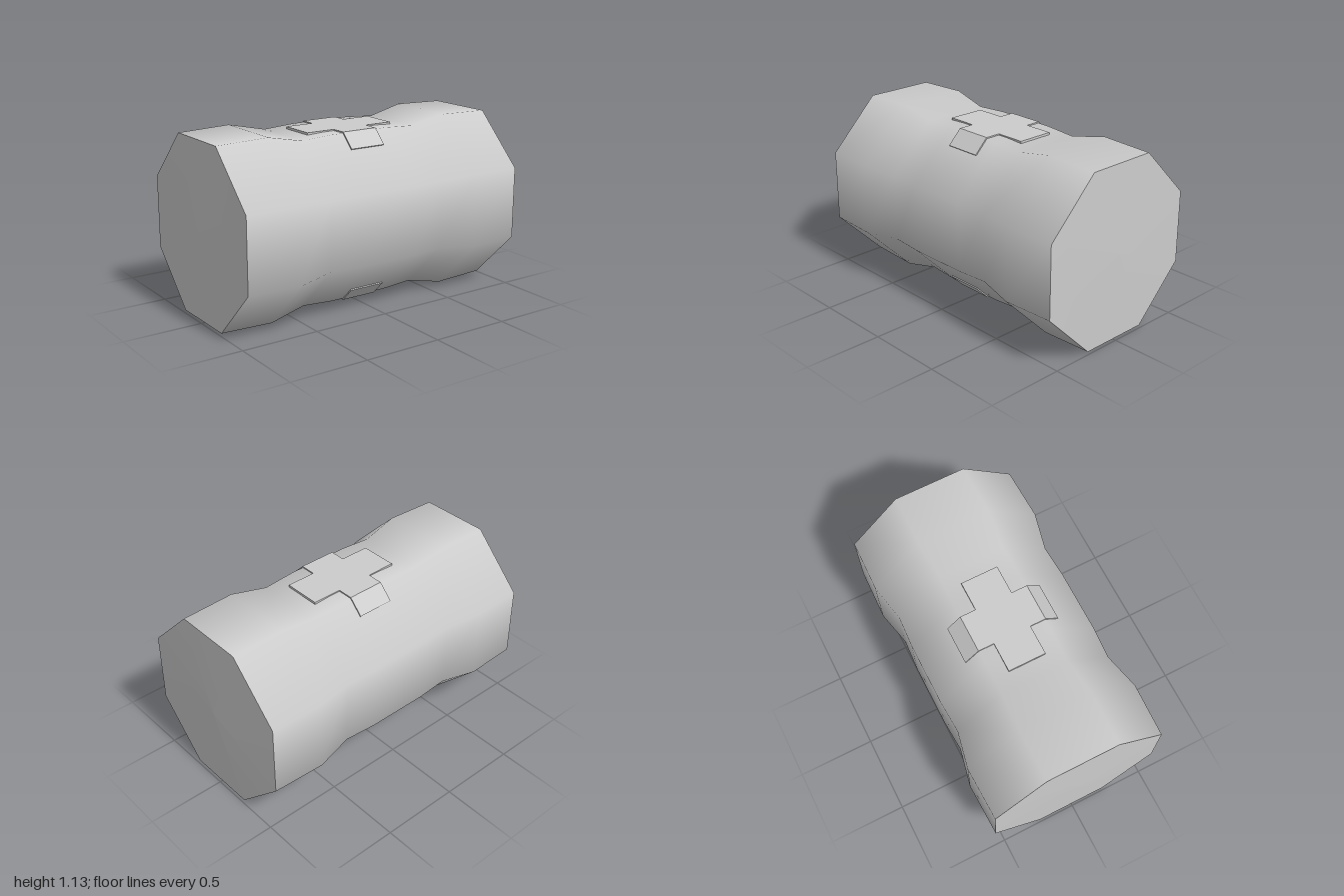
import * as THREE from 'three';

const SIDES = 8;
const PHASE = Math.PI / SIDES; // puts a flat side on top
const CENTRE_Y = 0.566;

// Corner radius of an octagon from the distance of its flat sides
const corner = (apothem) => apothem / Math.cos(PHASE);

export function createModel() {
  const grey = new THREE.MeshStandardMaterial({ color: 0xcccccc });
  grey.name = 'grey';

  const model = new THREE.Group();
  model.name = 'barrel';
  const body = new THREE.Group();
  body.name = 'body';
  body.position.y = CENTRE_Y;
  model.add(body);

  const add = (parent, name, geometry) => {
    const mesh = new THREE.Mesh(geometry, grey);
    mesh.name = name;
    parent.add(mesh);
    return mesh;
  };

  // Waisted eight-sided shell lying along x: [x, distance of flat sides]
  const half = [[0.2, 0.527], [0.41, 0.515], [0.65, 0.566], [0.988, 0.556]];
  const profile = [...half.map(([x, a]) => [-x, a]).reverse(), ...half]
    .map(([x, a]) => new THREE.Vector2(corner(a), x));
  const shell = new THREE.LatheGeometry(profile, SIDES, PHASE);
  shell.rotateZ(-Math.PI / 2);
  add(body, 'shell', shell);

  // Very slightly domed ends
  for (const side of [-1, 1]) {
    const cap = new THREE.ConeGeometry(corner(0.556), 0.012, SIDES, 1, true, PHASE);
    cap.translate(0, 0.994, 0);
    cap.rotateZ(-side * Math.PI / 2);
    add(body, side > 0 ? 'leftEnd' : 'rightEnd', cap);
  }

  // Cross-shaped plates on the top and bottom, bent over the neighbouring sides
  const bend = new THREE.Shape([
    [-0.295, 0.431], [0.295, 0.431], [0.31, 0.446], [0.221, 0.535],
    [-0.221, 0.535], [-0.31, 0.446],
  ].map(([z, y]) => new THREE.Vector2(z, y)));
  for (const side of [1, -1]) {
    const plate = new THREE.Group();
    plate.name = side > 0 ? 'topCross' : 'bottomCross';
    if (side < 0) plate.rotation.x = Math.PI;
    body.add(plate);

    const strip = new THREE.ExtrudeGeometry(bend, { depth: 0.24, bevelEnabled: false });
    strip.translate(0, 0, -0.12);
    strip.rotateY(Math.PI / 2);
    add(plate, 'bentArm', strip);

    for (const s of [-1, 1]) {
      const arm = new THREE.BoxGeometry(0.19, 0.03, 0.24);
      arm.translate(s * 0.215, 0.52, 0);
      add(plate, 'flatArm', arm);
    }
  }

  return model;
}
